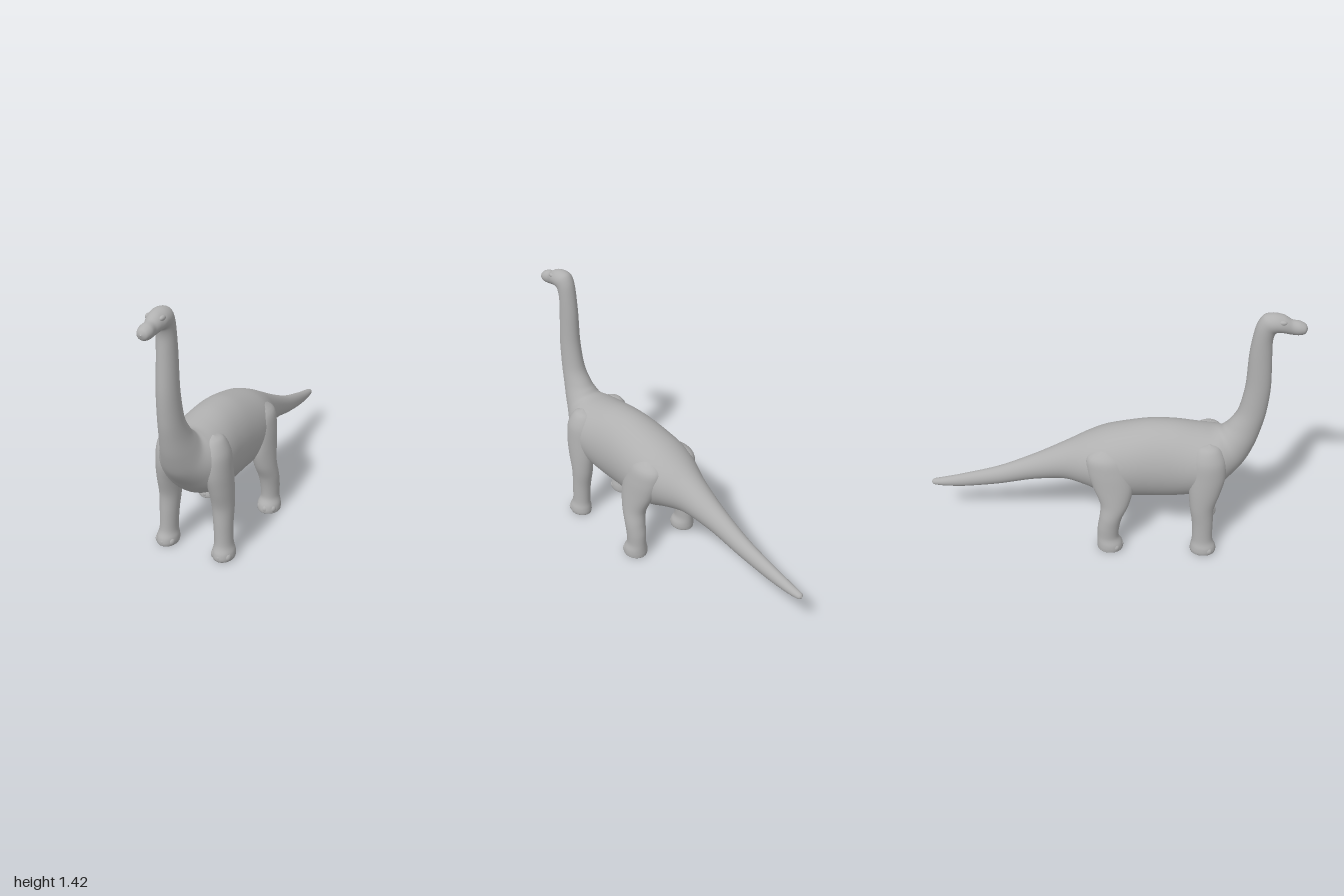
import * as THREE from 'three';

const V = (x, y, z) => new THREE.Vector3(x, y, z);

// Smooth closed skin over oval sections, each { c: centre, u, v: half axes }
function loft(sections, steps, sides) {
  const curve = (key) => new THREE.CatmullRomCurve3(sections.map((s) => s[key]), false, 'catmullrom', 0.45);
  const [C, U, W] = ['c', 'u', 'v'].map(curve);
  const rows = (sections.length - 1) * steps;
  const pos = [], index = [];
  for (let i = 0; i <= rows; i++) {
    const t = i / rows;
    const c = C.getPoint(t), u = U.getPoint(t), w = W.getPoint(t);
    for (let j = 0; j < sides; j++) {
      const a = (j / sides) * Math.PI * 2;
      const p = c.clone().addScaledVector(u, Math.cos(a)).addScaledVector(w, Math.sin(a));
      pos.push(p.x, Math.max(0, p.y), p.z);
    }
  }
  for (let i = 0; i < rows; i++) {
    for (let j = 0; j < sides; j++) {
      const k = (j + 1) % sides;
      const a = i * sides + j, b = i * sides + k;
      index.push(a, b, a + sides, b, b + sides, a + sides);
    }
  }
  const geo = new THREE.BufferGeometry();
  geo.setAttribute('position', new THREE.Float32BufferAttribute(pos, 3));
  geo.setIndex(index);
  geo.computeVertexNormals();
  return geo;
}

// Section from an underside point, a topside point and a half width
const spineSection = ([zA, yA, zB, yB, w]) => ({
  c: V(0, (yA + yB) / 2, (zA + zB) / 2),
  u: V(w, 0, 0),
  v: V(0, (yB - yA) / 2, (zB - zA) / 2),
});

// Horizontal leg section from front, back, inner and outer edges
const legSection = (side) => ([y, zF, zB, xIn, xOut]) => ({
  c: V(side * (xIn + xOut) / 2, y, (zF + zB) / 2),
  u: V(0, 0, (zF - zB) / 2),
  v: V((xOut - xIn) / 2, 0, 0),
});

// underside z, y, topside z, y, half width
const tailAndTorso = [
  [-1, 0.235, -1, 0.237, 0.001],
  [-0.985, 0.22, -0.985, 0.253, 0.018],
  [-0.92, 0.217, -0.92, 0.27, 0.026],
  [-0.8, 0.225, -0.8, 0.305, 0.033],
  [-0.6, 0.262, -0.6, 0.372, 0.045],
  [-0.4, 0.315, -0.4, 0.467, 0.064],
  [-0.22, 0.343, -0.22, 0.565, 0.1],
  [-0.1, 0.325, -0.1, 0.63, 0.15],
  [0, 0.29, 0, 0.675, 0.182],
  [0.12, 0.275, 0.12, 0.71, 0.186],
  [0.25, 0.28, 0.25, 0.738, 0.182],
  [0.38, 0.29, 0.38, 0.742, 0.182],
  [0.5, 0.32, 0.5, 0.728, 0.188],
  [0.61, 0.365, 0.57, 0.72, 0.185],
  [0.69, 0.45, 0.6, 0.722, 0.15],
];
const neckAndHead = [
  [0.76, 0.54, 0.615, 0.728, 0.11],
  [0.805, 0.65, 0.63, 0.742, 0.088],
  [0.83, 0.75, 0.655, 0.77, 0.072],
  [0.847, 0.85, 0.7, 0.85, 0.06],
  [0.855, 1.0, 0.725, 1.0, 0.053],
  [0.843, 1.18, 0.728, 1.18, 0.048],
  [0.838, 1.27, 0.738, 1.29, 0.047],
  [0.848, 1.315, 0.752, 1.36, 0.049],
  [0.865, 1.322, 0.78, 1.407, 0.053],
  [0.885, 1.321, 0.83, 1.42, 0.051],
  [0.905, 1.316, 0.88, 1.412, 0.042],
  [0.93, 1.312, 0.92, 1.39, 0.034],
  [0.96, 1.312, 0.957, 1.384, 0.037],
  [0.988, 1.32, 0.988, 1.369, 0.027],
  [1, 1.345, 1, 1.347, 0.001],
];

// height, front z, back z, inner x, outer x
const foreLeg = [
  [0, 0.566, 0.564, 0.162, 0.163],
  [0, 0.625, 0.505, 0.115, 0.212],
  [0.016, 0.638, 0.495, 0.105, 0.222],
  [0.045, 0.634, 0.497, 0.105, 0.22],
  [0.09, 0.616, 0.503, 0.112, 0.208],
  [0.2, 0.612, 0.497, 0.105, 0.206],
  [0.3, 0.612, 0.48, 0.095, 0.208],
  [0.4, 0.638, 0.47, 0.085, 0.208],
  [0.5, 0.66, 0.465, 0.06, 0.204],
  [0.6, 0.655, 0.47, 0.05, 0.194],
  [0.67, 0.62, 0.5, 0.06, 0.16],
  [0.69, 0.566, 0.564, 0.11, 0.112],
];
const hindLeg = [
  [0, 0.051, 0.049, 0.185, 0.186],
  [0, 0.112, -0.014, 0.13, 0.24],
  [0.016, 0.122, -0.022, 0.12, 0.248],
  [0.045, 0.116, -0.022, 0.122, 0.246],
  [0.085, 0.096, -0.021, 0.135, 0.235],
  [0.15, 0.1, -0.02, 0.132, 0.236],
  [0.22, 0.116, -0.01, 0.125, 0.236],
  [0.3, 0.15, -0.008, 0.11, 0.226],
  [0.4, 0.17, -0.05, 0.09, 0.213],
  [0.5, 0.16, -0.085, 0.06, 0.2],
  [0.58, 0.12, -0.08, 0.05, 0.178],
  [0.64, 0.031, 0.029, 0.1, 0.102],
];

export function createModel() {
  const model = new THREE.Group();
  model.name = 'longNeckedDinosaur';
  const skin = new THREE.MeshStandardMaterial({ color: 0xb0b0b0 });
  skin.name = 'grey skin';

  const add = (name, geometry, parent = model) => {
    const mesh = new THREE.Mesh(geometry, skin);
    mesh.name = name;
    parent.add(mesh);
    return mesh;
  };

  // Tail, torso, neck and head form one continuous skin
  add('body', loft([...tailAndTorso, ...neckAndHead].map(spineSection), 6, 40));

  const bump = new THREE.SphereGeometry(1, 16, 12);
  for (const side of [1, -1]) {
    const label = side > 0 ? 'left' : 'right';

    // Legs with three blunt toes each
    for (const [name, rows, toeZ, footX] of [['ForeLeg', foreLeg, 0.615, 0.163], ['HindLeg', hindLeg, 0.1, 0.185]]) {
      const leg = new THREE.Group();
      leg.name = label + name;
      model.add(leg);
      add('limb', loft(rows.map(legSection(side)), 5, 28), leg);
      for (const k of [-1, 0, 1]) {
        const toe = add('toe', bump, leg);
        toe.position.set(side * (footX + k * 0.036), 0.026, toeZ - Math.abs(k) * 0.018);
        toe.scale.set(0.02, 0.025, 0.024);
      }
    }

    // Brow over the eye
    const brow = add(label + 'Brow', bump);
    brow.position.set(side * 0.035, 1.388, 0.872);
    brow.scale.set(0.012, 0.012, 0.022);
  }
  return model;
}
